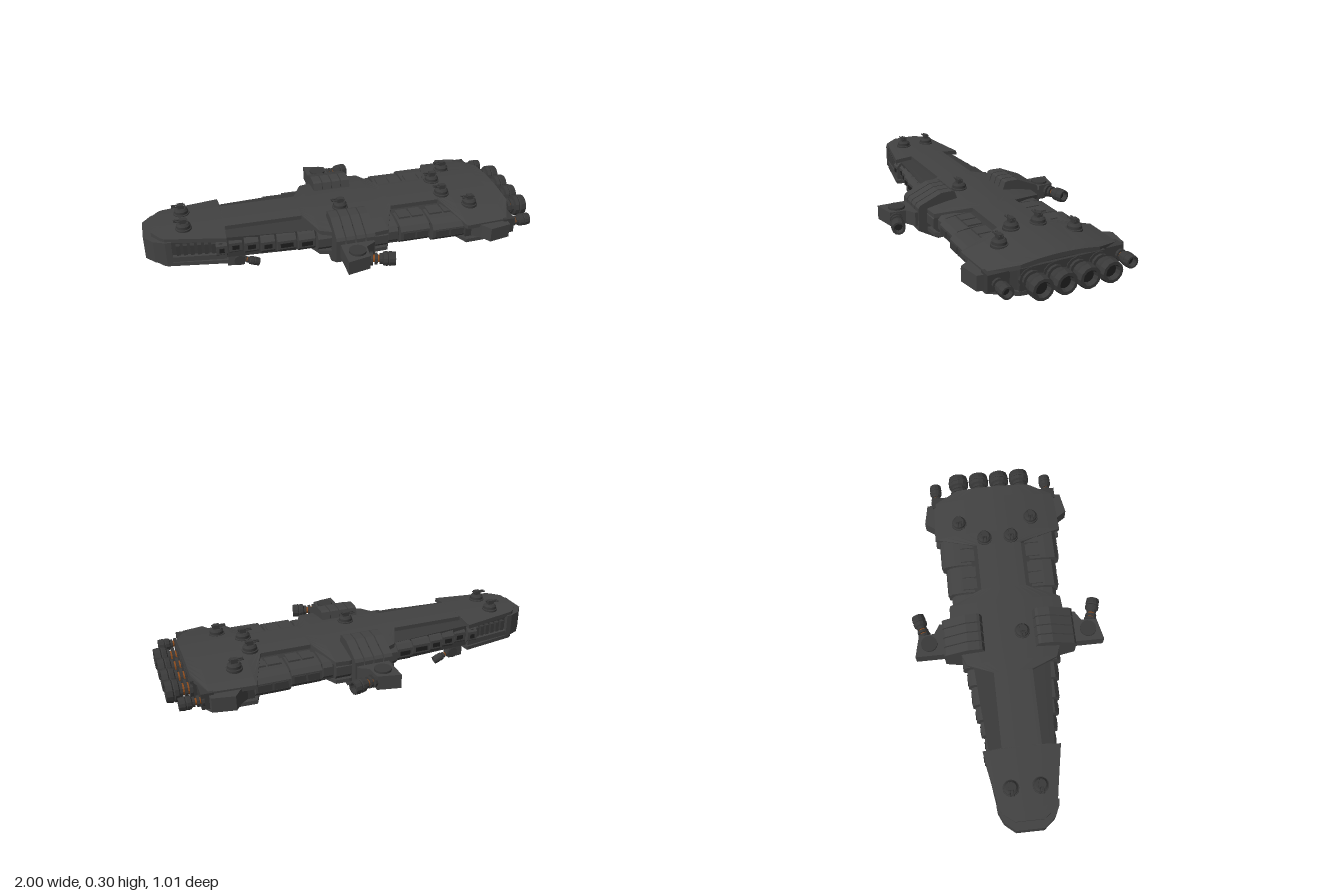
import * as THREE from 'three';
import { toCreasedNormals } from 'three/addons/utils/BufferGeometryUtils.js';

const paint = (name, color) => {
  const m = new THREE.MeshStandardMaterial({ color });
  m.name = name;
  return m;
};

export function createModel() {
  const ship = new THREE.Group();
  ship.name = 'spaceship';
  const hull = paint('hull grey', 0x424242);
  const metal = paint('machinery grey', 0x393939);
  const dark = paint('recess black', 0x1e1e1e);
  const copper = paint('copper', 0x8a4a1c);

  const add = (name, geo, mat, parent = ship) => {
    const mesh = new THREE.Mesh(geo, mat);
    mesh.name = name;
    parent.add(mesh);
    return mesh;
  };
  const box = (name, x0, x1, y0, y1, z0, z1, mat, parent) => {
    const g = new THREE.BoxGeometry(x1 - x0, y1 - y0, Math.abs(z1 - z0));
    g.translate((x0 + x1) / 2, (y0 + y1) / 2, (z0 + z1) / 2);
    return add(name, g, mat, parent);
  };
  const shapeOf = pts => new THREE.Shape(pts.map(p => new THREE.Vector2(...p)));
  const flatExtrude = (pts, depth) => new THREE.ExtrudeGeometry(shapeOf(pts), { depth, bevelEnabled: false });
  // profile of [z, y] points swept from x0 to x1
  const sweepX = (pts, x0, x1) =>
    flatExtrude(pts.map(([z, y]) => [-z, y]), x1 - x0).rotateY(Math.PI / 2).translate(x0, 0, 0);
  // plan of [x, z] points raised from y0 to y1
  const raiseY = (pts, y0, y1) =>
    flatExtrude(pts.map(([x, z]) => [x, -z]), y1 - y0).rotateX(-Math.PI / 2).translate(0, y0, 0);
  // turned part from [radius, distance] points, pointing along +x
  const turnedX = (pts, sides = 12) => toCreasedNormals(
    new THREE.LatheGeometry(pts.map(p => new THREE.Vector2(...p)), sides).rotateZ(-Math.PI / 2), 0.45);

  // curved upper and lower skins
  const yTop = z => 0.254 - 0.39 * z * z;
  const yBot = z => 0.083 + 0.2 * z * z;

  // slab lofted along x from [x, halfWidth] stations
  const slab = (stations, top, bottom, n = 12) => {
    const rings = stations.map(([x, w]) => {
      const ring = [];
      for (let i = 0; i <= n; i++) { const z = w * (2 * i / n - 1); ring.push([x, top(z), z]); }
      for (let i = n; i >= 0; i--) { const z = w * (2 * i / n - 1); ring.push([x, bottom(z), z]); }
      return ring;
    });
    const pos = [], m = 2 * n + 2;
    const quad = (a, b, c, d) => pos.push(...a, ...b, ...c, ...a, ...c, ...d);
    for (let s = 0; s < rings.length - 1; s++) {
      for (let j = 0; j < m; j++) {
        const k = (j + 1) % m;
        quad(rings[s][j], rings[s][k], rings[s + 1][k], rings[s + 1][j]);
      }
    }
    const a = rings[0], b = rings[rings.length - 1];
    for (let j = 0; j < n; j++) {
      quad(b[j], b[j + 1], b[m - 2 - j], b[m - 1 - j]);
      quad(a[m - 1 - j], a[m - 2 - j], a[j + 1], a[j]);
    }
    const g = new THREE.BufferGeometry();
    g.setAttribute('position', new THREE.Float32BufferAttribute(pos, 3));
    g.computeVertexNormals();
    return g;
  };

  // armoured decks above and below
  const deck = [[-0.96, 0.07], [-0.92, 0.125], [-0.9, 0.14], [-0.605, 0.195], [-0.6, 0.1], [-0.21, 0.1],
    [-0.15, 0.235], [-0.08, 0.26], [0.12, 0.3], [0.19, 0.295], [0.26, 0.12], [0.52, 0.12],
    [0.6, 0.345], [0.82, 0.335], [0.88, 0.2]];
  add('upperDeck', slab(deck, yTop, z => yTop(z) - 0.022), hull);
  add('lowerDeck', slab(deck, z => yBot(z) + 0.02, yBot), hull);

  // inner hull and bow
  const core = [[-0.93, 0.1], [-0.9, 0.125], [-0.6, 0.165], [-0.15, 0.2], [0.19, 0.26], [0.6, 0.27],
    [0.605, 0.315], [0.8, 0.305], [0.87, 0.19]];
  add('innerHull', slab(core, z => yTop(z) - 0.021, z => yBot(z) + 0.019), metal);
  add('bowBlock', slab([[-1, 0.07], [-0.955, 0.125], [-0.9, 0.15], [-0.87, 0.153]],
    () => 0.23, () => 0.11, 1), hull);

  // flank blocks, widening towards the stern: [x0, x1, halfWidth]
  const blocks = [[-0.66, -0.605, 0.19], [-0.595, -0.53, 0.178], [-0.52, -0.45, 0.193], [-0.44, -0.37, 0.21],
    [-0.36, -0.265, 0.222], [-0.255, -0.17, 0.235], [-0.16, -0.09, 0.255], [-0.09, 0.19, 0.3],
    [0.2, 0.25, 0.28], [0.26, 0.415, 0.295], [0.425, 0.6, 0.318]];
  const gunPlan = s => [[-0.07, 0.3], [-0.07, 0.497], [0.045, 0.472], [0.05, 0.39], [0.1, 0.36], [0.1, 0.3]]
    .map(([x, z]) => [x, s * z]);

  // thruster with ribbed neck and hollow bell, length L and radius r
  const thruster = (name, L, r, x, y, z, ry = 0, rz = 0) => {
    const g = new THREE.Group();
    g.name = name;
    add('neck', turnedX([[0, 0], [r * 0.5, 0], [r * 0.5, L * 0.6], [0, L * 0.6]]), copper, g);
    for (let i = 0; i < 3; i++) {
      const a = L * (0.08 + i * 0.17), b = a + L * 0.1, R = r * (0.92 - i * 0.1);
      add('neckRing', turnedX([[0, a], [R, a], [R, b], [0, b]]), metal, g);
    }
    add('bell', turnedX([[r * 0.5, L * 0.5], [r * 0.95, L * 0.56], [r, L * 0.7], [r * 0.9, L * 0.74],
      [r, L * 0.78], [r * 0.92, L], [r * 0.66, L], [r * 0.55, L * 0.8]]), metal, g);
    add('bellThroat', turnedX([[r * 0.6, L * 0.82], [0, L * 0.82]]), dark, g);
    g.position.set(x, y, z);
    g.rotation.set(0, ry, rz);
    ship.add(g);
  };

  for (const s of [1, -1]) {
    for (const [x0, x1, w] of blocks) {
      const yo = Math.min(0.222, yTop(w) + 0.006);
      add('flankBlock', sweepX([[0.05, 0.226], [w - 0.07, yo], [w - 0.02, yo - 0.008], [w, yo - 0.03],
        [w, 0.145], [w - 0.03, 0.115], [0.05, 0.108]].map(([z, y]) => [s * z, y]), x0, x1), hull);
      if (x1 < -0.1) box('flankPort', x0 + 0.015, x1 - 0.015, 0.155, 0.178, s * (w - 0.004), s * (w + 0.003), dark);
    }

    // bow ports and belt along the forward flank
    for (let i = 0; i < 7; i++) {
      const x = -0.85 + i * 0.034, w = 0.155 + (x + 0.9) * 0.14;
      box('bowPort', x, x + 0.02, 0.15, 0.205, s * 0.1, s * (w - 0.008), metal);
    }
    add('bowBelt', raiseY([[-0.88, 0.1], [-0.88, 0.15], [-0.61, 0.188], [-0.61, 0.1]]
      .map(([x, z]) => [x, s * z]), 0.115, 0.142), hull);

    // panels over the aft flank
    for (const [x0, x1] of [[0.275, 0.335], [0.345, 0.405], [0.44, 0.51], [0.52, 0.59]]) {
      box('flankPanel', x0, x1, 0.2, 0.231, s * 0.14, s * 0.215, hull);
      box('flankVent', x0, x1, 0.15, 0.185, s * 0.25, s * (x0 < 0.42 ? 0.3 : 0.323), metal);
    }

    // ribbed broadside armour
    for (let i = 0; i < 4; i++) {
      const x = -0.09 + i * 0.051;
      add('broadsideRib', sweepX([[0.13, 0.24], [0.145, 0.285], [0.16, 0.29], [0.22, 0.289], [0.335, 0.24],
        [0.345, 0.225], [0.345, 0.105], [0.24, 0.045], [0.15, 0.05], [0.13, 0.09]]
        .map(([z, y]) => [s * z, y]), x, x + 0.045), hull);
    }
    box('broadsideSpine', -0.085, 0.105, 0.07, 0.265, s * 0.14, s * 0.27, metal);

    // outrigger with pivot drum and angled thruster
    add('outrigger', raiseY(gunPlan(s), 0.132, 0.205), hull);
    const drum = new THREE.CylinderGeometry(0.043, 0.043, 0.096, 16).translate(-0.005, 0.168, s * 0.42);
    add('pivotDrum', toCreasedNormals(drum, 0.6), metal);
    thruster('outriggerThruster', 0.135, 0.036, 0.04, 0.17, s * 0.44, -s * 0.26);

    // stern sponson and its small engine
    add('sternSponson', raiseY([[0.6, 0.28], [0.68, 0.35], [0.71, 0.395], [0.82, 0.375], [0.83, 0.28]]
      .map(([x, z]) => [x, s * z]), 0.125, 0.2), hull);
    box('sternBracket', 0.8, 0.86, 0.13, 0.212, s * 0.24, s * 0.345, metal);
    thruster('sternThruster', 0.125, 0.033, 0.835, 0.17, s * 0.313 - 0.01);

    // ventral pods near the bow
    add('ventralMount', raiseY([[-0.605, 0.105], [-0.605, 0.135], [-0.52, 0.145], [-0.52, 0.095]]
      .map(([x, z]) => [x, s * z]), 0.035, 0.105), hull);
    const pivot = new THREE.CylinderGeometry(0.028, 0.028, 0.052, 14).rotateX(Math.PI / 2)
      .translate(-0.545, 0.062, s * 0.12);
    add('ventralPivot', toCreasedNormals(pivot, 0.6), metal);
    thruster('ventralThruster', 0.115, 0.022, -0.55, 0.065, s * 0.12, 0, -0.4);
  }

  // main engines across the stern
  for (let i = 0; i < 4; i++) thruster('mainEngine', 0.135, 0.056, 0.865, 0.17, 0.158 - i * 0.116);
  box('engineBulkhead', 0.84, 0.885, 0.115, 0.222, -0.225, 0.205, metal);

  // deck turrets with twin barrels
  for (const [x, z] of [[-0.8, 0.07], [-0.8, -0.075], [0, 0.07], [0.56, 0.07], [0.56, -0.075],
    [0.67, 0.19], [0.67, -0.205]]) {
    const t = new THREE.Group();
    t.name = 'turret';
    t.position.set(x, yTop(z) - 0.004, z);
    const pts = [[0.041, -0.01], [0.041, 0.01], [0.035, 0.012], [0.035, 0.026], [0.026, 0.036], [0, 0.037]];
    add('turretBase', toCreasedNormals(
      new THREE.LatheGeometry(pts.map(p => new THREE.Vector2(...p)), 16), 0.5), metal, t);
    box('turretHead', -0.016, 0.016, 0.034, 0.058, -0.013, 0.013, metal, t);
    for (const s of [1, -1]) {
      const barrel = new THREE.CylinderGeometry(0.004, 0.004, 0.07, 8).rotateZ(Math.PI / 2);
      add('turretBarrel', barrel.translate(-0.012, 0.05, s * 0.008), metal, t);
    }
    ship.add(t);
  }
  return ship;
}
